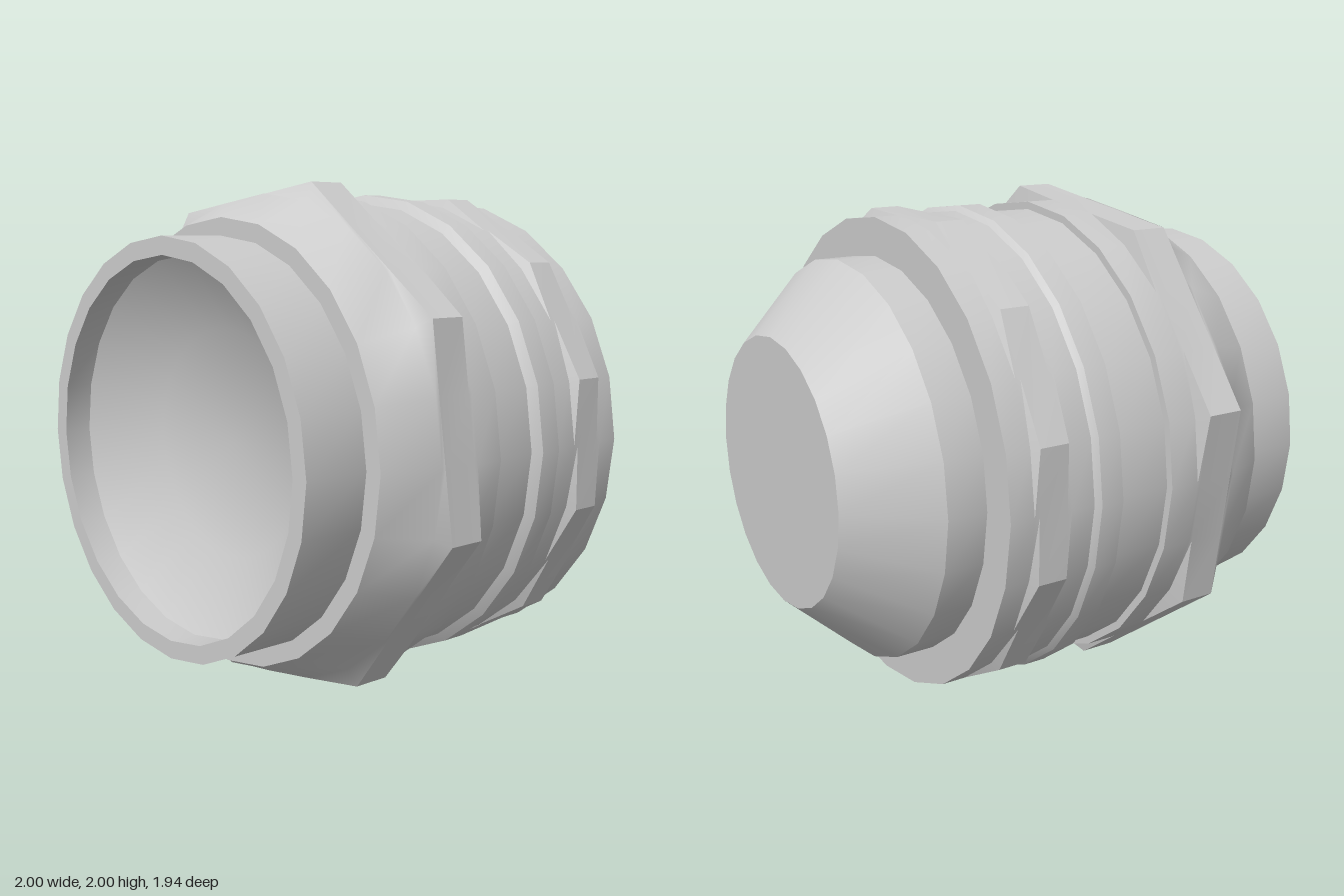
import * as THREE from 'three';
import { toCreasedNormals } from 'three/addons/utils/BufferGeometryUtils.js';

const SIDES = 24;

// Turns a [radius, z] profile (listed back to front) about the z axis.
// pull(step, z, r) may give a new radius for the vertex at angle step * 15 degrees.
function turned(name, profile, crease = 0.5, pull = null) {
  const geo = new THREE.LatheGeometry(profile.map(([r, z]) => new THREE.Vector2(r, z)), SIDES);
  geo.rotateX(Math.PI / 2);
  if (pull) {
    const p = geo.attributes.position;
    for (let i = 0; i < p.count; i++) {
      const step = (Math.round(Math.atan2(p.getY(i), p.getX(i)) / (Math.PI / 12)) + SIDES) % SIDES;
      const r = Math.hypot(p.getX(i), p.getY(i));
      const k = pull(step, p.getZ(i), r) / r;
      p.setXY(i, p.getX(i) * k, p.getY(i) * k);
    }
  }
  const material = new THREE.MeshStandardMaterial({ color: 0xcccccc });
  const mesh = new THREE.Mesh(toCreasedNormals(geo, crease), material);
  mesh.name = name;
  return mesh;
}

const near = (a, b) => Math.abs(a - b) < 0.002;

export function createModel() {
  const model = new THREE.Group();
  model.name = 'threadedFitting';
  const axis = new THREE.Group();
  axis.name = 'turnedParts';
  axis.position.y = 1;
  model.add(axis);

  // Eight corners pulled out of the round nut
  const octagon = (step, z, r) =>
    step % 3 === 2 && (near(z, 0.33) || near(z, 0.48)) ? 1.035 : r;
  // Twelve ridges on the middle of the grip band
  const ridges = (step, z, r) =>
    step % 2 === 1 && (near(z, -0.4) || near(z, -0.28)) ? 0.985 : r;

  axis.add(
    // Tapered plug at the back
    turned('rearPlug', [[0, -0.97], [0.535, -0.97], [0.8, -0.68], [0.8, -0.52]]),
    // Grip band with ridged centre
    turned('gripBand', [[0.8, -0.52], [0.95, -0.52], [0.95, -0.42], [0.951, -0.4],
      [0.951, -0.28], [0.95, -0.26], [0.95, -0.16]], 0.5, ridges),
    // Chamfered collar and the plain barrel in front of it
    turned('collar', [[0.95, -0.16], [0.97, -0.14], [0.97, -0.045], [0.935, -0.02]]),
    turned('barrel', [[0.935, -0.02], [0.935, 0.19]]),
    // Eight-sided nut with its round rear flange
    turned('nut', [[0.935, 0.19], [0.965, 0.19], [0.965, 0.315], [0.964, 0.33],
      [0.964, 0.48]], 0.5, octagon),
    // Shoulder blending the nut corners into a cone
    turned('nutShoulder', [[0.964, 0.48], [0.962, 0.495], [0.87, 0.7]], Math.PI, octagon),
    // Front tube with rim
    turned('frontTube', [[0.87, 0.7], [0.8, 0.7], [0.8, 0.97], [0.73, 0.97], [0.73, 0.86]]),
    // Smooth hollow inside the tube
    turned('frontHollow', [[0.73, 0.86], [0.45, 0.68], [0, 0.66]], Math.PI)
  );
  // The lathe profile runs outward-in here, so its faces look to the front
  return model;
}
